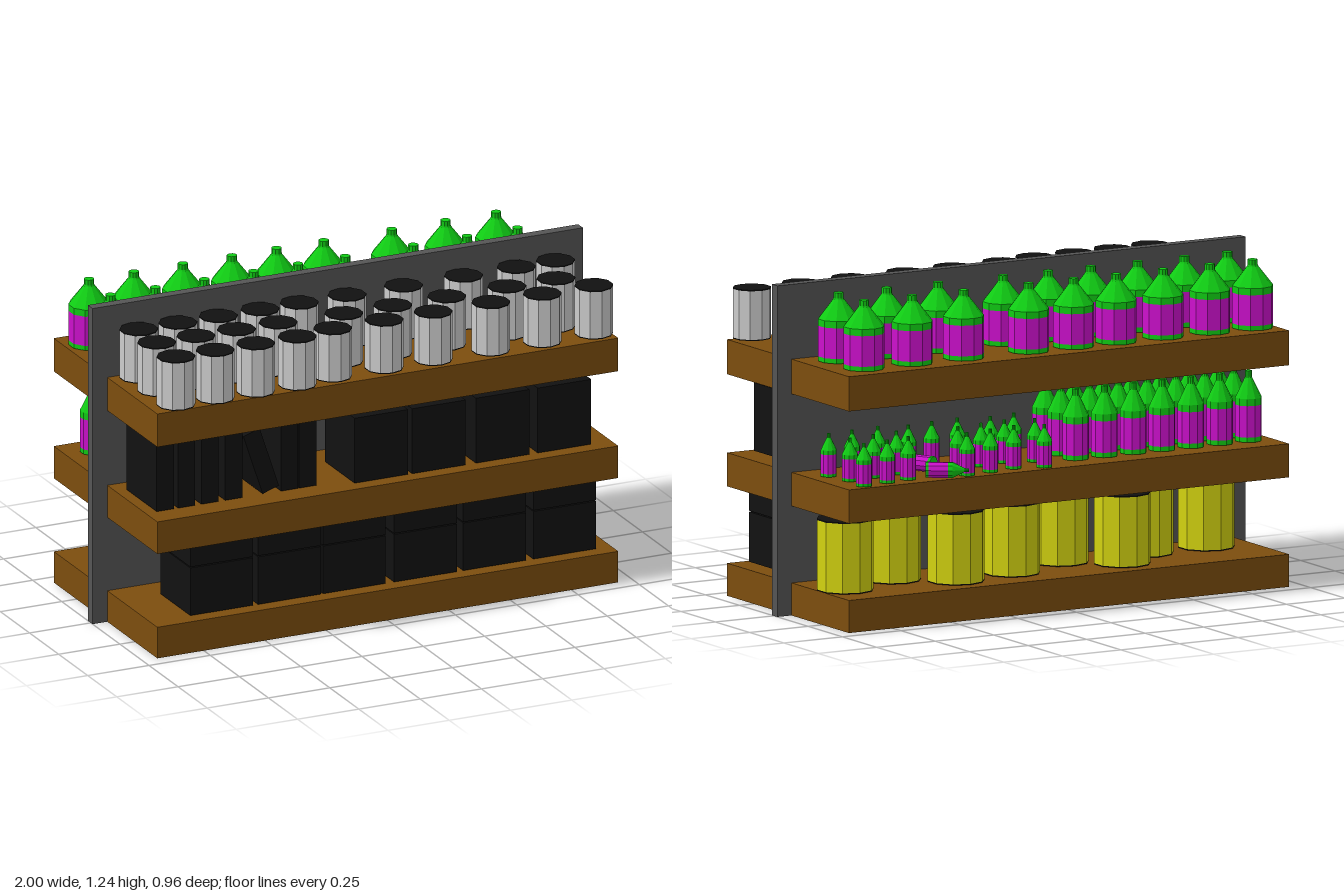
import * as THREE from 'three';

const mat = (color) => new THREE.MeshStandardMaterial({ color, flatShading: true });

export function createModel() {
  const root = new THREE.Group();
  root.name = 'shopShelf';
  const black = mat(0x111111), brown = mat(0x7c4d0e), dark = mat(0x555555), grey = mat(0xcccccc);
  const green = mat(0x10cc14), magenta = mat(0xcc10cc), yellow = mat(0xd2d210);

  // Box given by its limits on each axis
  function box(name, material, x0, x1, y0, y1, z0, z1) {
    const m = new THREE.Mesh(new THREE.BoxGeometry(x1 - x0, y1 - y0, z1 - z0), material);
    m.position.set((x0 + x1) / 2, (y0 + y1) / 2, (z0 + z1) / 2);
    m.name = name;
    root.add(m);
    return m;
  }

  // Drum with thin black lids at both ends
  function drum(name, material, r, h, x, y, z) {
    const g = new THREE.Group();
    g.name = name;
    const add = (part, mtl, hh, yy) => {
      const m = new THREE.Mesh(new THREE.CylinderGeometry(r, r, hh, 10), mtl);
      m.position.y = yy;
      m.name = part;
      g.add(m);
    };
    const lid = 0.004;
    add('bottomLid', black, lid, lid / 2);
    add('body', material, h - 2 * lid, h / 2);
    add('topLid', black, lid, h - lid / 2);
    g.position.set(x, y, z);
    root.add(g);
  }

  // Bottle: green base, magenta label, green shoulder and neck
  function bottle(name, r, h, neck, x, y, z) {
    const g = new THREE.Group();
    g.name = name;
    const part = (partName, material, pts) => {
      const profile = pts.map(([a, b]) => new THREE.Vector2(a * r, b * h));
      const m = new THREE.Mesh(new THREE.LatheGeometry(profile, 10), material);
      m.name = partName;
      g.add(m);
    };
    part('base', green, [[0, 0], [1, 0], [1, 0.07]]);
    part('label', magenta, [[1, 0.07], [1, 0.52]]);
    part('shoulder', green, [[1, 0.52], [1, 0.62], [neck * 1.1, 0.9], [neck, 0.92], [neck, 1], [0, 1]]);
    g.position.set(x, y, z);
    root.add(g);
    return g;
  }

  // Frame
  box('dividerPanel', dark, -1, 1, 0, 1.24, -0.026, 0.015);
  [[0, 0.122], [0.41, 0.536], [0.83, 0.96]].forEach(([a, b]) =>
    box('shelfBoard', brown, -0.94, 0.94, a, b, -0.445, 0.445));

  // Front, top shelf: cans
  const leftCans = [-0.845, -0.685, -0.52, -0.35];
  const canRows = [
    [0.085, leftCans], [0.24, leftCans], [0.405, leftCans],
    [0.085, [-0.19, 0.005, 0.235, 0.48, 0.695, 0.855]],
    [0.257, [-0.09, 0.11, 0.33, 0.575, 0.775]],
    [0.382, [-0.195, 0.015, 0.215, 0.45, 0.66, 0.87]],
  ];
  for (const [z, xs] of canRows) for (const x of xs) drum('can', grey, 0.072, 0.19, x, 0.97, z);

  // Front, middle shelf: books, one leaning, then boxes
  for (const x of [-0.867, -0.78, -0.685, -0.588, -0.36, -0.286])
    box('book', black, x - 0.035, x + 0.035, 0.542, 0.8, 0.1, 0.36);
  const leaning = box('leaningBook', black, -0.511, -0.441, 0.548, 0.798, 0.1, 0.36);
  leaning.rotation.z = 0.32;
  for (const x of [-0.005, 0.23, 0.49, 0.742])
    box('box', black, x - 0.109, x + 0.109, 0.542, 0.797, 0.145, 0.4);

  // Front, bottom shelf: boxes stacked in two layers
  for (const x of [-0.656, -0.38, -0.115, 0.175, 0.457, 0.743])
    for (const y of [0.128, 0.319])
      box('stackedBox', black, x - 0.128, x + 0.128, y, y + 0.187, 0.145, 0.4);

  // Back, top shelf: large bottles
  for (const z of [-0.332, -0.147])
    for (const x of [-0.85, -0.667, -0.467, -0.267, -0.085, 0.107, 0.385, 0.604, 0.81])
      bottle('largeBottle', 0.077, 0.255, 0.25, x, 0.963, z);

  // Back, middle shelf: medium bottles in a grid
  for (const z of [-0.327, -0.218, -0.107])
    for (let i = 0; i < 7; i++)
      bottle('mediumBottle', 0.05, 0.262, 0.26, -0.835 + i * 0.123, 0.54, z);

  // Back, middle shelf: small bottles in loose rows
  const smallRows = [
    [-0.4, [0.86, 0.75, 0.65, 0.42, 0.31, 0.2, 0.09]],
    [-0.28, [0.85, 0.74, 0.63, 0.39, 0.28, 0.17, 0.06]],
    [-0.16, [0.87, 0.76, 0.64, 0.53, 0.42, 0.3, 0.18, 0.07]],
  ];
  for (const [z, xs] of smallRows)
    xs.forEach((x, i) => bottle('smallBottle', 0.03, 0.16, 0.22, x, 0.54, z + 0.018 * ((i % 3) - 1)));

  // Small bottles lying on their sides
  const up = new THREE.Vector3(0, 1, 0);
  for (const [x, z, dx, dz] of [[0.58, -0.39, -0.84, -0.54], [0.5, -0.31, 0.45, 0.89]]) {
    const b = bottle('fallenBottle', 0.03, 0.16, 0.22, x, 0.57, z);
    b.quaternion.setFromUnitVectors(up, new THREE.Vector3(dx, 0, dz).normalize());
  }

  // Back, bottom shelf: barrels
  const barrels = [
    [0.845, -0.255], [0.59, -0.165], [0.4, -0.303], [0.14, -0.265],
    [-0.126, -0.165], [-0.31, -0.303], [-0.488, -0.165], [-0.75, -0.165],
  ];
  for (const [x, z] of barrels) drum('barrel', yellow, 0.107, 0.268, x, 0.125, z);

  return root;
}
